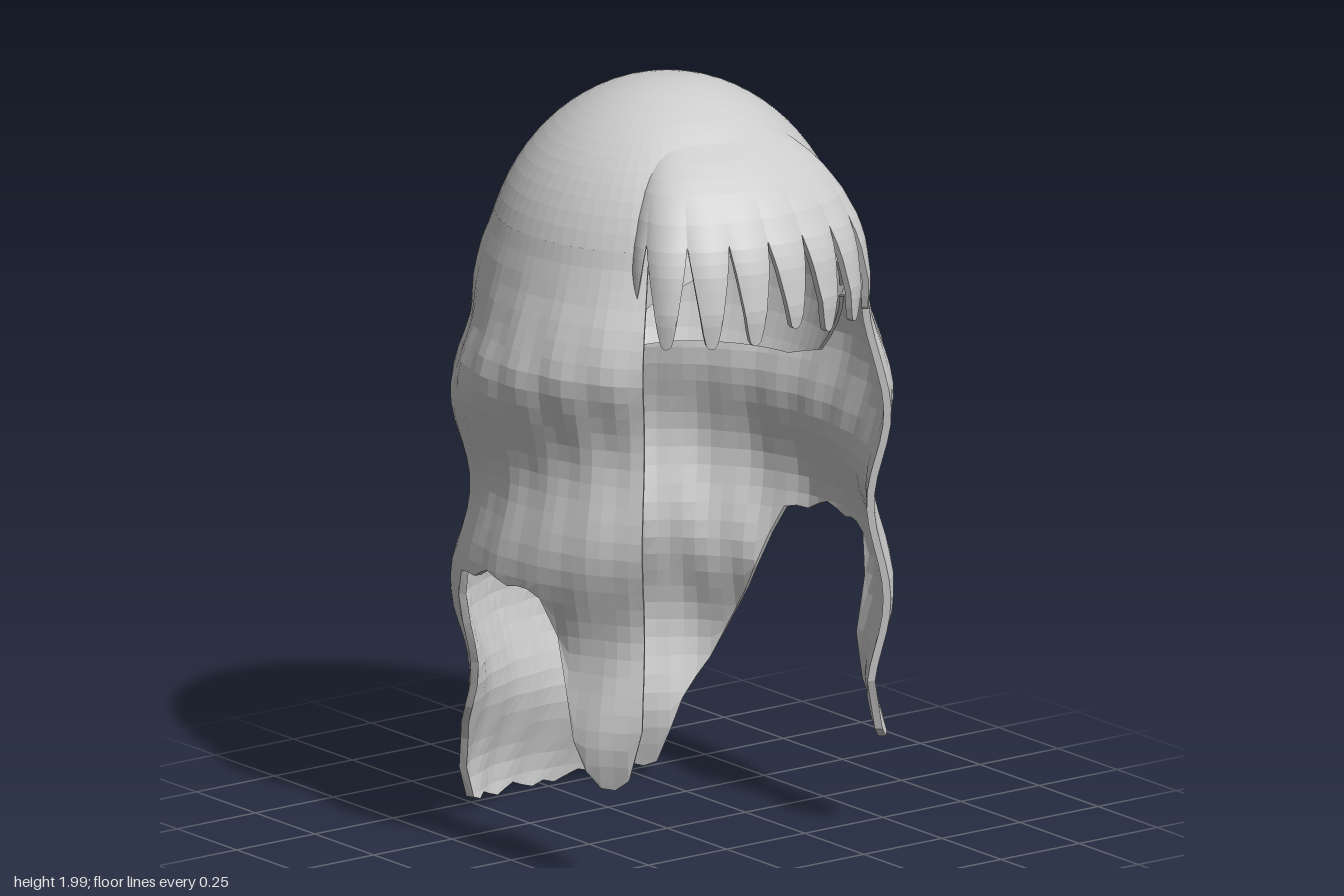
import * as THREE from 'three';

const RAD = Math.PI / 180;

// piecewise-linear lookup through [key, value] pairs with rising keys
function lookup(pairs, k) {
  if (k <= pairs[0][0]) return pairs[0][1];
  for (let i = 1; i < pairs.length; i++) {
    const [a, va] = pairs[i - 1], [b, vb] = pairs[i];
    if (k <= b) return va + (vb - va) * (k - a) / (b - a);
  }
  return pairs[pairs.length - 1][1];
}
const clamp01 = (v) => Math.min(1, Math.max(0, v));
const fold = (deg) => Math.abs(deg > 180 ? deg - 360 : deg); // angle from the front, 0..180

// Closed shell around the y axis; angles in degrees, 0 = front, 90 = +x.
// Rows run level from top to floor and stop at the edge height of each column.
function shell({ from, to, cols, rows, top, floor, edge, radius, thick, ease = 1 }) {
  const pos = [], idx = [], n = 2 * (rows + 1);
  for (let c = 0; c <= cols; c++) {
    const deg = from + (to - from) * c / cols;
    for (let k = 0; k < n; k++) {
      const inner = k > rows;
      const t = Math.pow((inner ? n - 1 - k : k) / rows, ease);
      let y = Math.max(edge(deg), top + (floor - top) * t);
      let r = radius(deg, y);
      if (inner) {
        r = Math.max(0, r - thick);
        y -= thick * clamp01((y - 1.7) / 0.3);
      }
      pos.push(r * Math.sin(deg * RAD), y, r * Math.cos(deg * RAD));
    }
  }
  for (let c = 0; c < cols; c++) {
    for (let k = 0; k < n; k++) {
      const k2 = (k + 1) % n;
      const a = c * n + k, b = c * n + k2, d = a + n, e = b + n;
      idx.push(a, b, d, b, e, d);
    }
  }
  // end faces
  const last = cols * n;
  for (let j = 0; j < rows; j++) {
    const p = n - 1 - j;
    idx.push(j + 1, j, p, j + 1, p, p - 1);
    idx.push(last + j, last + j + 1, last + p, last + j + 1, last + p - 1, last + p);
  }
  const g = new THREE.BufferGeometry();
  g.setAttribute('position', new THREE.Float32BufferAttribute(pos, 3));
  g.setIndex(idx);
  const flat = g.toNonIndexed();
  flat.computeVertexNormals();
  return flat;
}

// smooth head outline: half ellipse on top, widening into the hanging hair
const FLARE = [[1.3, 0.523], [1.45, 0.508], [1.6, 0.458]];
function headRadius(y) {
  if (y < 1.6) return lookup(FLARE, y);
  return 0.47 * Math.sqrt(Math.max(0, 1 - ((y - 1.47) / 0.53) ** 2));
}

// hanging hair: waves spiral upward round the head
function curtainRadius(deg, y) {
  const ramp = clamp01((1.64 - y) / 0.3);
  const crest = 1.27 + 0.25 * (deg - 90) / 90;
  const wave = 0.024 * Math.cos(2 * Math.PI * (y - crest) / 0.5);
  const frontEdge = 0.03 * clamp01((75 - fold(deg)) / 30);
  const sideSwell = 0.008 * Math.sin(deg * RAD) ** 2;
  const ripple = 0.003 * Math.sin(deg * 0.41 + 3 * Math.sin(y * 5));
  return headRadius(y) + ramp * (wave + frontEdge + sideSwell + ripple);
}

// lower hem: side lock, raised gap at the shoulder, long back
const HEM = [[43.5, 0.42], [46, 0.3], [49, 0.26], [53, 0.25], [57, 0.27], [64, 0.41], [71, 0.67], [74, 0.74],
  [90, 0.77], [107, 0.745], [112, 0.66], [122, 0.46], [130, 0.34], [137, 0.23], [147, 0.03], [180, 0.015]];
const hem = (deg) => {
  const a = fold(deg);
  const jag = a > 75 ? 0.011 * Math.sin(a * 0.42) : 0;
  return Math.max(0, lookup(HEM, a) + jag);
};

// inner cap: a bowl closing in at the nape, its edge rising to the temples
const CAP_EDGE = [[0, 1.69], [43, 1.52], [55, 1.38], [70, 1.24], [90, 1.2], [140, 1.19], [180, 1.165]];
const capRadius = (y) => 0.452 * Math.sqrt(Math.max(0, 1 - ((y - 1.45) / 0.52) ** 2));

// fringe: pointed locks in a fan, smooth where they leave the crown
const LOCK = 12.5, HALF_FRINGE = 50;
const FRINGE = [[1.42, 0.53], [1.5, 0.538], [1.6, 0.525], [1.66, 0.51], [1.74, 0.468], [1.81, 0.41],
  [1.87, 0.325], [1.92, 0.23]];
const lockPhase = (deg) => 2 * (deg / LOCK - Math.round(deg / LOCK)); // -1..1 across a lock
function fringeEnd(deg) {
  const u = Math.abs(lockPhase(deg));
  const tip = Math.abs(deg) < LOCK / 2 ? 1.45 : 1.42;
  return lookup([[0, tip], [0.22, tip + 0.004], [0.36, tip + 0.035], [1, 1.68]], u);
}
function fringeRadius(deg, y) {
  const puff = 0.012 * (1 - lockPhase(deg) ** 2) * clamp01((1.8 - y) / 0.2);
  return lookup(FRINGE, y) + puff - 0.035 * (deg / 43.75) ** 8;
}

export function createModel() {
  const group = new THREE.Group();
  group.name = 'wig';
  const hair = new THREE.MeshStandardMaterial({ color: 0xcccccc, side: THREE.DoubleSide });
  hair.name = 'hairGrey';

  const add = (name, options) => {
    const mesh = new THREE.Mesh(shell(options), hair);
    mesh.name = name;
    group.add(mesh);
  };

  // rounded crown
  add('crown', {
    from: -180, to: 180, cols: 72, rows: 16, ease: 2, thick: 0.012,
    top: 2, floor: 1.65, edge: () => 1.65, radius: (d, y) => headRadius(y),
  });
  // wavy hair round the sides and back
  add('hangingHair', {
    from: 43.5, to: 316.5, cols: 72, rows: 36, thick: 0.02,
    top: 1.65, floor: 0, edge: hem, radius: curtainRadius,
  });
  // plain domed cap inside the hair
  add('innerCap', {
    from: -180, to: 180, cols: 72, rows: 20, ease: 1.6, thick: 0.01,
    top: 1.97, floor: 1.16, edge: (d) => lookup(CAP_EDGE, fold(d)),
    radius: (d, y) => capRadius(y),
  });
  // pointed locks over the forehead
  add('fringe', {
    from: -HALF_FRINGE, to: HALF_FRINGE, cols: 128, rows: 16, thick: 0.018,
    top: 1.92, floor: 1.42, edge: fringeEnd, radius: fringeRadius,
  });
  return group;
}
